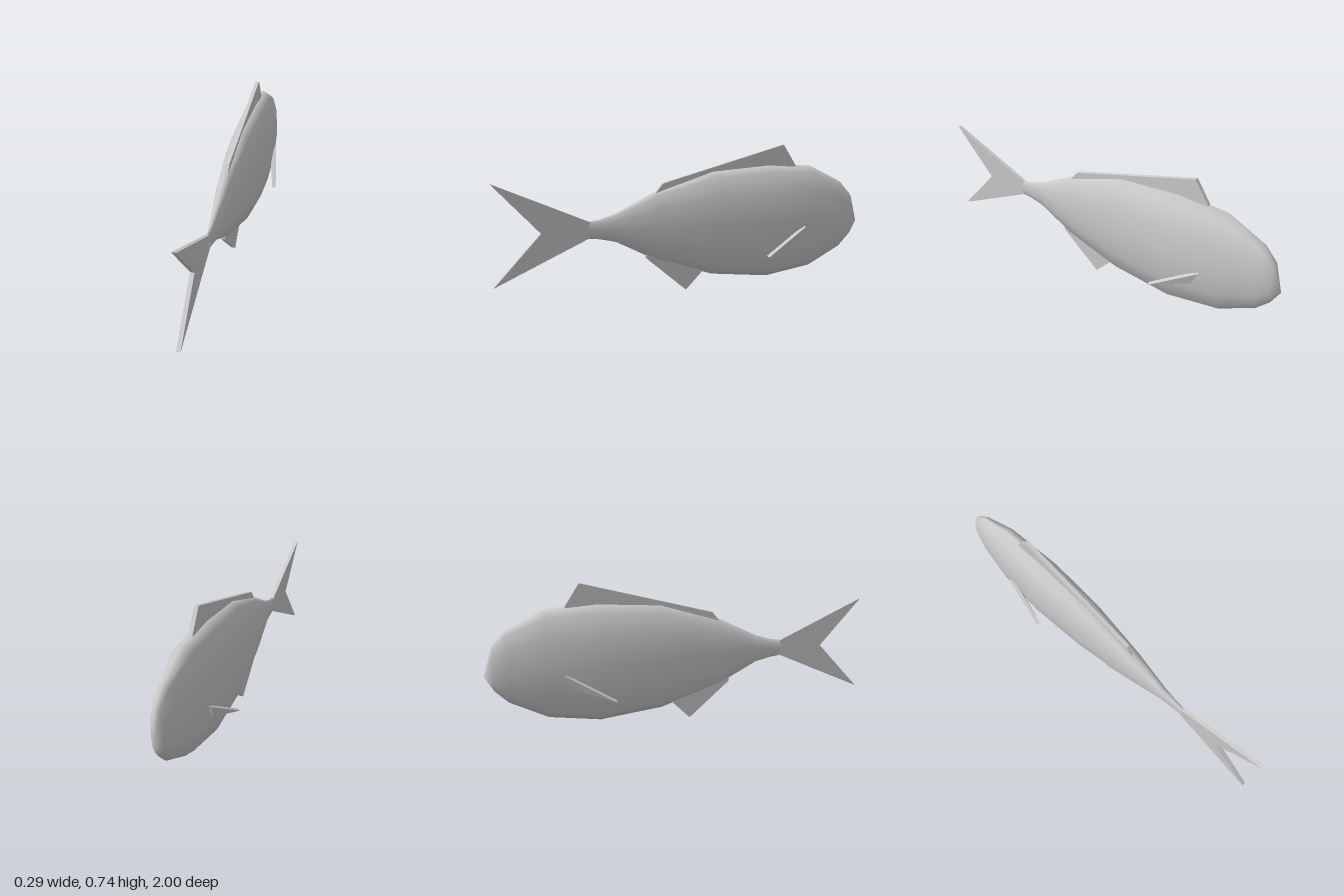
import * as THREE from 'three';
import { ConvexGeometry } from 'three/addons/geometries/ConvexGeometry.js';

const SIDES = 12;
const THICK = 0.02;

// Body rings from tail to head: z, bottom y, top y, half width
const RINGS = [
  [0.54, 0.3, 0.385, 0.013],
  [0.48, 0.293, 0.393, 0.016],
  [0.4, 0.275, 0.418, 0.024],
  [0.19, 0.168, 0.52, 0.055],
  [-0.12, 0.07, 0.617, 0.088],
  [-0.44, 0.034, 0.64, 0.102],
  [-0.7, 0.073, 0.623, 0.088],
  [-0.89, 0.167, 0.53, 0.053],
  [-0.955, 0.23, 0.46, 0.03],
  [-1, 0.305, 0.305, 0],
];

// Smooth skin over elliptical rings, closing to a point at the nose
function bodyGeometry() {
  const pos = [], index = [];
  const last = RINGS.length - 1;
  RINGS.forEach(([z, lo, hi, rx], i) => {
    const count = i === last ? 1 : SIDES;
    for (let j = 0; j < count; j++) {
      const a = (j / SIDES) * Math.PI * 2;
      pos.push(Math.cos(a) * rx, (lo + hi) / 2 + (Math.sin(a) * (hi - lo)) / 2, z);
    }
  });
  for (let i = 0; i < last; i++) {
    for (let j = 0; j < SIDES; j++) {
      const k = (j + 1) % SIDES;
      const a = i * SIDES + j, b = i * SIDES + k;
      if (i === last - 1) {
        index.push(a, last * SIDES, b);
      } else {
        index.push(a, a + SIDES, b, b, a + SIDES, b + SIDES);
      }
    }
  }
  const g = new THREE.BufferGeometry();
  g.setAttribute('position', new THREE.Float32BufferAttribute(pos, 3));
  g.setIndex(index);
  g.computeVertexNormals();
  return g;
}

// Flat upright fin from [z, y] outline points
function uprightFin(points) {
  const shape = new THREE.Shape(points.map(([z, y]) => new THREE.Vector2(z, y)));
  const g = new THREE.ExtrudeGeometry(shape, { depth: THICK, bevelEnabled: false });
  g.translate(0, 0, -THICK / 2);
  g.rotateY(-Math.PI / 2);
  return g;
}

// Slanted triangular side fin, side = +1 or -1
function sideFin(side) {
  const outer = [[0.099, 0.305, -0.625], [0.094, 0.235, -0.59], [0.147, 0.165, -0.382]];
  const points = [];
  for (const [x, y, z] of outer) {
    points.push(new THREE.Vector3(side * x, y, z));
    points.push(new THREE.Vector3(side * (x - 0.019), y + 0.005, z + 0.005));
  }
  return new ConvexGeometry(points);
}

export function createModel() {
  const model = new THREE.Group();
  model.name = 'fish';
  const grey = new THREE.MeshStandardMaterial({ color: 0xcccccc });
  grey.name = 'light grey';

  const add = (name, geometry) => {
    const mesh = new THREE.Mesh(geometry, grey);
    mesh.name = name;
    model.add(mesh);
    return mesh;
  };

  add('body', bodyGeometry());

  // Flat cap closing the body at the tail root
  const [z, lo, hi, rx] = RINGS[0];
  const cap = add('tailRootCap', new THREE.CircleGeometry(1, SIDES));
  cap.scale.set(rx, (hi - lo) / 2, 1);
  cap.position.set(0, (lo + hi) / 2, z);

  // Fins on the centre line, rooted inside the body
  add('tailFin', uprightFin([[0.53, 0.305], [1, 0.092], [0.77, 0.34], [1, 0.587], [0.53, 0.382]]));
  add('dorsalFin', uprightFin([[0.2, 0.5], [0.153, 0.558], [-0.53, 0.74], [-0.605, 0.625], [-0.44, 0.6], [-0.12, 0.58]]));
  add('bellyFin', uprightFin([[0.245, 0.22], [0.245, 0.183], [0.03, 0], [-0.065, 0.095], [-0.02, 0.13]]));

  // Paired fins
  add('leftSideFin', sideFin(1));
  add('rightSideFin', sideFin(-1));

  return model;
}
